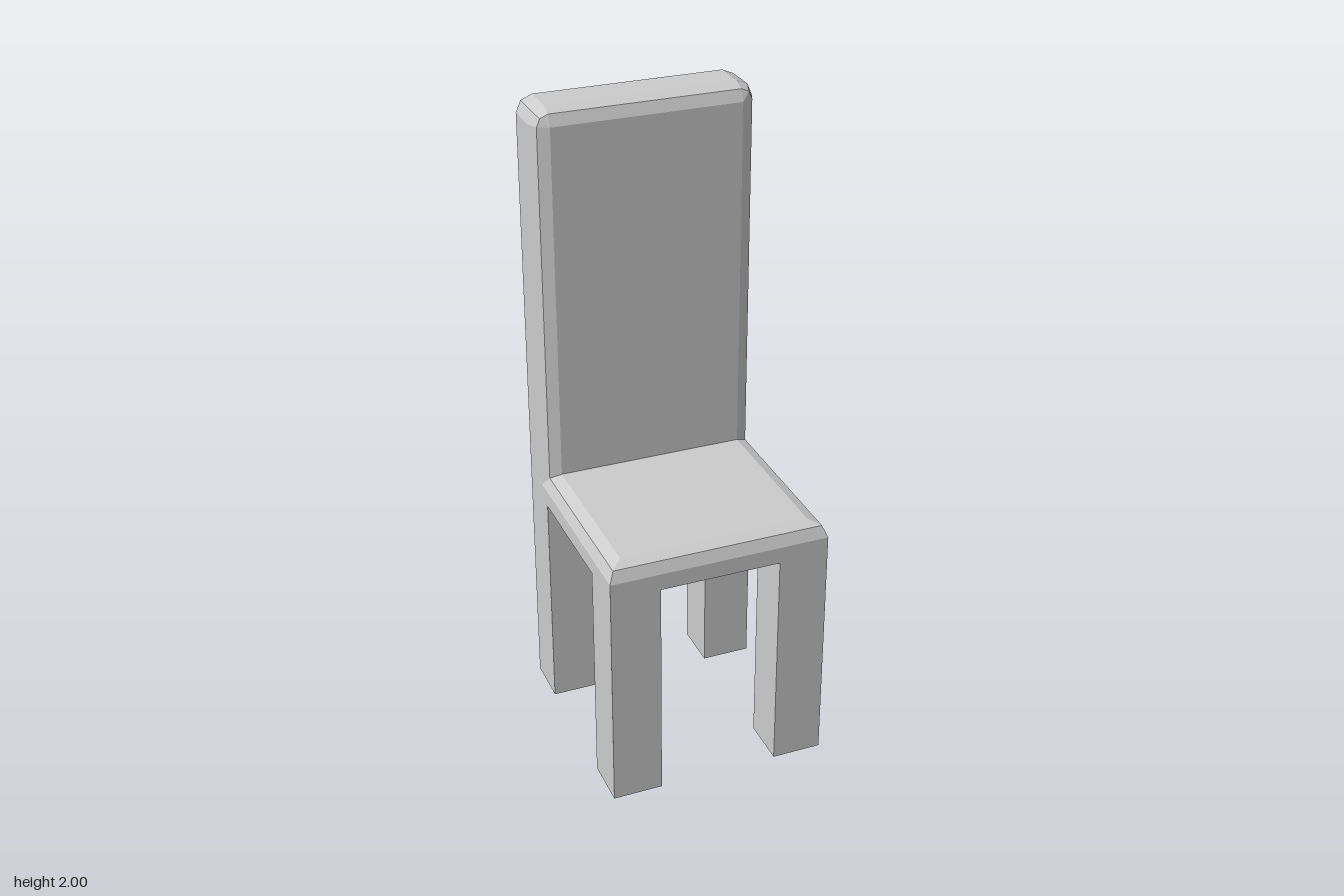
import * as THREE from 'three';

const W = 0.345, D = 0.36, SEAT_BOTTOM = 0.725, SEAT_TOP = 0.83, HEIGHT = 2;
const BEVEL = 0.05;
// bevel steps: [inset from the outline, drop below the face]
const STEPS = [[0, 0.052], [0.015, 0.015], [BEVEL, 0]];

// Loft a counter-clockwise outline along z, with a stepped bevel at the front end
function bevelledSlab(outline, back, front) {
  const levels = [[0, back], ...STEPS.map(([inset, drop]) => [inset, front - drop])];
  const rings = levels.map(([inset, z]) =>
    outline(inset).map(([x, y]) => new THREE.Vector3(x, y, z)));
  const positions = [];
  const tri = (a, b, c) => {
    const area = b.clone().sub(a).cross(c.clone().sub(a)).length();
    if (area > 1e-8) for (const p of [a, b, c]) positions.push(p.x, p.y, p.z);
  };
  const n = rings[0].length;
  for (let r = 0; r < rings.length - 1; r++) {
    for (let i = 0; i < n; i++) {
      const j = (i + 1) % n;
      tri(rings[r][i], rings[r][j], rings[r + 1][j]);
      tri(rings[r][i], rings[r + 1][j], rings[r + 1][i]);
    }
  }
  // end caps
  const first = rings[0], last = rings[rings.length - 1];
  for (let i = 1; i < n - 1; i++) {
    tri(first[0], first[i + 1], first[i]);
    tri(last[0], last[i], last[i + 1]);
  }
  const geometry = new THREE.BufferGeometry();
  geometry.setAttribute('position', new THREE.Float32BufferAttribute(positions, 3));
  geometry.computeVertexNormals();
  return geometry;
}

// Seat plan: bevelled at the sides and front, straight at the rear
const seatOutline = (d) => [[-W + d, -D + d], [W - d, -D + d], [W - d, D], [-W + d, D]];

// Backrest elevation: two-step rounded top corners, straight at the bottom
function backOutline(d) {
  const r = BEVEL - d, x = W - BEVEL, y = HEIGHT - BEVEL, k = 0.7 * r;
  return [
    [-W + d, 0.78], [W - d, 0.78],
    [x + r, y], [x + k, y + k], [x, y + r],
    [-x, y + r], [-x - k, y + k], [-x - r, y],
  ];
}

export function createModel() {
  const chair = new THREE.Group();
  chair.name = 'chair';
  const grey = new THREE.MeshStandardMaterial({ color: 0xcccccc });
  grey.name = 'light grey';

  const add = (name, geometry) => {
    const mesh = new THREE.Mesh(geometry, grey);
    mesh.name = name;
    chair.add(mesh);
    return mesh;
  };

  add('seat', bevelledSlab(seatOutline, SEAT_BOTTOM, SEAT_TOP).rotateX(-Math.PI / 2));
  add('backrest', bevelledSlab(backOutline, -D, -0.203));

  // Four square legs, flush with the corners of the seat
  const leg = 0.156;
  const legGeometry = new THREE.BoxGeometry(leg, SEAT_BOTTOM, leg);
  for (const [side, sx] of [['Left', 1], ['Right', -1]]) {
    for (const [end, sz] of [['front', 1], ['back', -1]]) {
      add(`${end}${side}Leg`, legGeometry)
        .position.set(sx * (W - leg / 2), SEAT_BOTTOM / 2, sz * (D - leg / 2));
    }
  }
  return chair;
}
